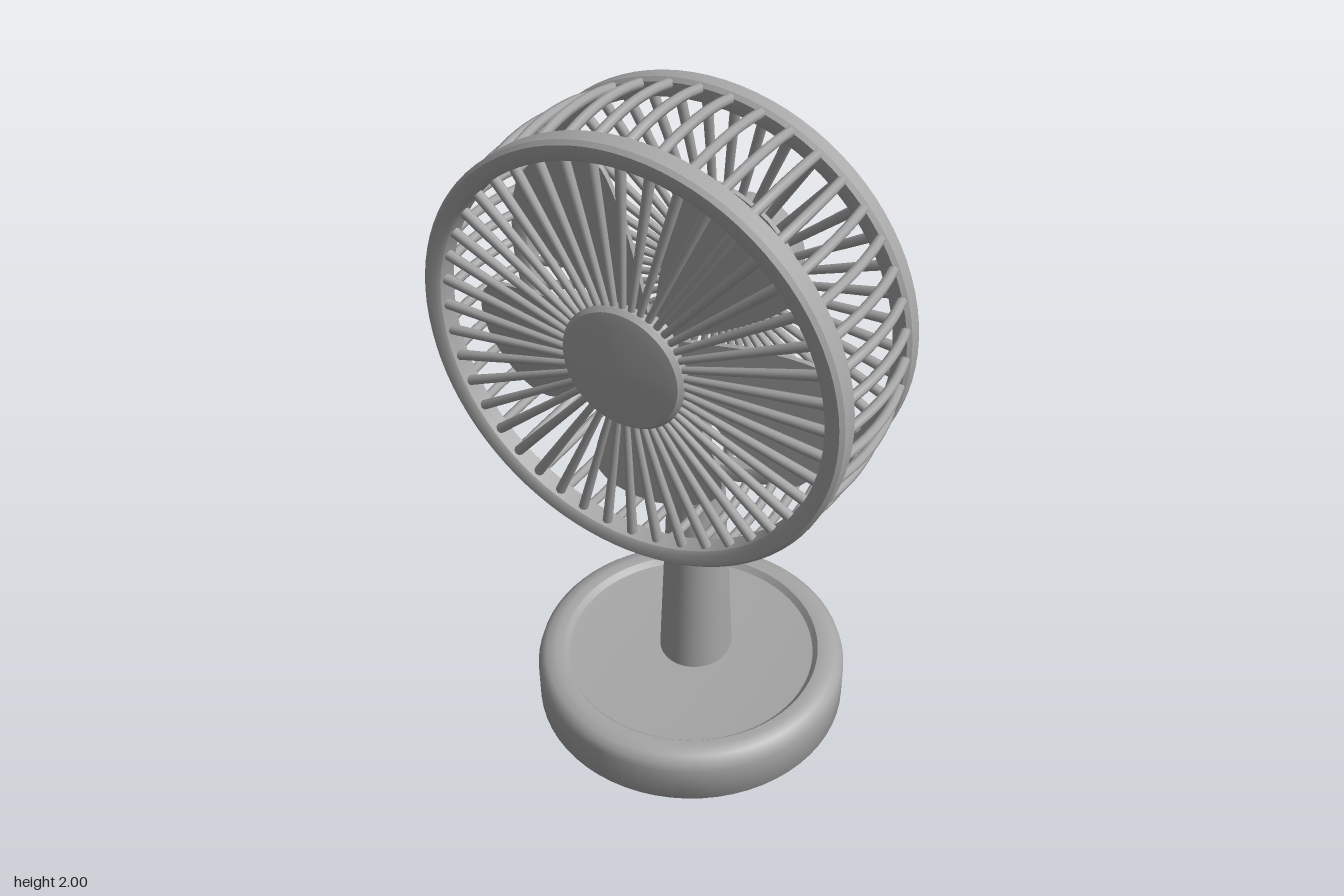
import * as THREE from 'three';
import { toCreasedNormals } from 'three/addons/utils/BufferGeometryUtils.js';

const CENTRE_Y = 1.395;
const BARS = 44;

export function createModel() {
  const model = new THREE.Group();
  model.name = 'deskFan';
  const grey = new THREE.MeshStandardMaterial({ color: 0xa6a6a6 });
  grey.name = 'plain grey';

  const add = (parent, geometry, name) => {
    const mesh = new THREE.Mesh(geometry, grey);
    mesh.name = name;
    parent.add(mesh);
    return mesh;
  };
  // Turned part: points are [radius, height], outer side running upwards
  const turned = (points, segments = 64) => toCreasedNormals(
    new THREE.LatheGeometry(points.map(([r, h]) => new THREE.Vector2(r, h)), segments), 0.7);
  // Turned part whose axis runs front to back
  const turnedZ = (points, segments) => turned(points, segments).rotateX(Math.PI / 2);
  // Round tapered rod between two points
  const rod = (a, b, ra, rb) => {
    const dir = b.clone().sub(a);
    const g = new THREE.CylinderGeometry(rb, ra, dir.length(), 8);
    g.applyQuaternion(new THREE.Quaternion().setFromUnitVectors(
      new THREE.Vector3(0, 1, 0), dir.clone().normalize()));
    const mid = a.clone().add(b).multiplyScalar(0.5);
    return g.translate(mid.x, mid.y, mid.z);
  };

  // Base dish with rounded rim and shallow recess
  add(model, turned([
    [0, 0], [0.455, 0], [0.465, 0.012], [0.465, 0.125], [0.458, 0.148], [0.44, 0.165],
    [0.41, 0.173], [0.385, 0.17], [0.37, 0.153], [0.34, 0.15], [0, 0.152],
  ]), 'base');

  // Tapered stand, slightly behind the middle, with a slim neck inside the cage
  const stem = new THREE.CylinderGeometry(0.08, 0.108, 0.65, 32);
  stem.scale(1, 1, 1.06);
  add(model, toCreasedNormals(stem, 0.7), 'stand').position.set(0, 0.465, -0.03);
  const neck = new THREE.CylinderGeometry(0.055, 0.068, 0.47, 24);
  neck.scale(1, 1, 0.55);
  add(model, toCreasedNormals(neck, 0.7), 'neck').position.set(0, 1.0, 0);

  const head = new THREE.Group();
  head.name = 'fanHead';
  head.position.y = CENTRE_Y;
  model.add(head);

  // Front and back cage rings
  const ring = (z0, z1, name) => add(head, turnedZ([
    [0.535, z0 + 0.008], [0.545, z0], [0.575, z0], [0.585, z0 + 0.01],
    [0.585, z1 - 0.01], [0.575, z1], [0.545, z1], [0.535, z1 - 0.008], [0.535, z0 + 0.008],
  ], 88), name);
  ring(0.27, 0.34, 'frontRing');
  ring(-0.095, -0.035, 'backRing');

  // Bulging side bars and tapering front and back spokes
  const barCurve = new THREE.CatmullRomCurve3([
    new THREE.Vector3(0, 0.568, -0.05), new THREE.Vector3(0, 0.582, 0.03),
    new THREE.Vector3(0, 0.587, 0.12), new THREE.Vector3(0, 0.582, 0.2),
    new THREE.Vector3(0, 0.568, 0.285),
  ]);
  const sideBar = new THREE.TubeGeometry(barCurve, 10, 0.013, 8, false);
  const frontSpoke = rod(new THREE.Vector3(0, 0.15, 0.32),
    new THREE.Vector3(0, 0.55, 0.308), 0.009, 0.014);
  const backSpoke = rod(new THREE.Vector3(0, 0.12, -0.128),
    new THREE.Vector3(0, 0.55, -0.075), 0.009, 0.014);
  for (let i = 0; i < BARS; i++) {
    const angle = (i / BARS) * Math.PI * 2;
    add(head, sideBar, 'sideBar').rotation.z = angle;
    add(head, frontSpoke, 'frontSpoke').rotation.z = angle;
    add(head, backSpoke, 'backSpoke').rotation.z = angle;
  }

  // Front cap
  add(head, turnedZ([
    [0, 0.295], [0.155, 0.295], [0.168, 0.305], [0.17, 0.33], [0.16, 0.342],
    [0.13, 0.347], [0, 0.35],
  ]), 'frontCap');

  // Motor housing with raised collar
  add(head, turnedZ([
    [0, -0.345], [0.135, -0.345], [0.155, -0.338], [0.163, -0.322], [0.169, -0.225],
    [0.18, -0.208], [0.18, -0.15], [0.168, -0.135], [0.135, -0.12], [0.09, -0.1], [0, -0.1],
  ]), 'motorHousing');

  // Shaft and blade hub
  add(head, turnedZ([[0, -0.11], [0.05, -0.11], [0.05, 0.3], [0, 0.3]], 32), 'shaft');
  add(head, turnedZ([
    [0, 0.13], [0.07, 0.13], [0.075, 0.14], [0.075, 0.23], [0.06, 0.25], [0, 0.25],
  ], 32), 'bladeHub');

  // Five broad blades, pitched across their width
  const outline = new THREE.Shape();
  outline.moveTo(-0.03, 0.04);
  outline.bezierCurveTo(-0.08, 0.14, -0.17, 0.28, -0.19, 0.4);
  outline.bezierCurveTo(-0.19, 0.47, -0.1, 0.51, 0, 0.52);
  outline.bezierCurveTo(0.1, 0.52, 0.18, 0.48, 0.17, 0.41);
  outline.bezierCurveTo(0.15, 0.28, 0.07, 0.14, 0.03, 0.04);
  const blade = new THREE.ExtrudeGeometry(outline, { depth: 0.014, bevelEnabled: false, curveSegments: 10 });
  const p = blade.attributes.position;
  for (let i = 0; i < p.count; i++) p.setZ(i, p.getZ(i) + 0.18 + p.getX(i) * 0.12);
  const bladeGeometry = toCreasedNormals(blade, 0.7);
  for (let i = 0; i < 5; i++) {
    add(head, bladeGeometry, 'blade').rotation.z = Math.PI + (i / 5) * Math.PI * 2;
  }

  return model;
}
